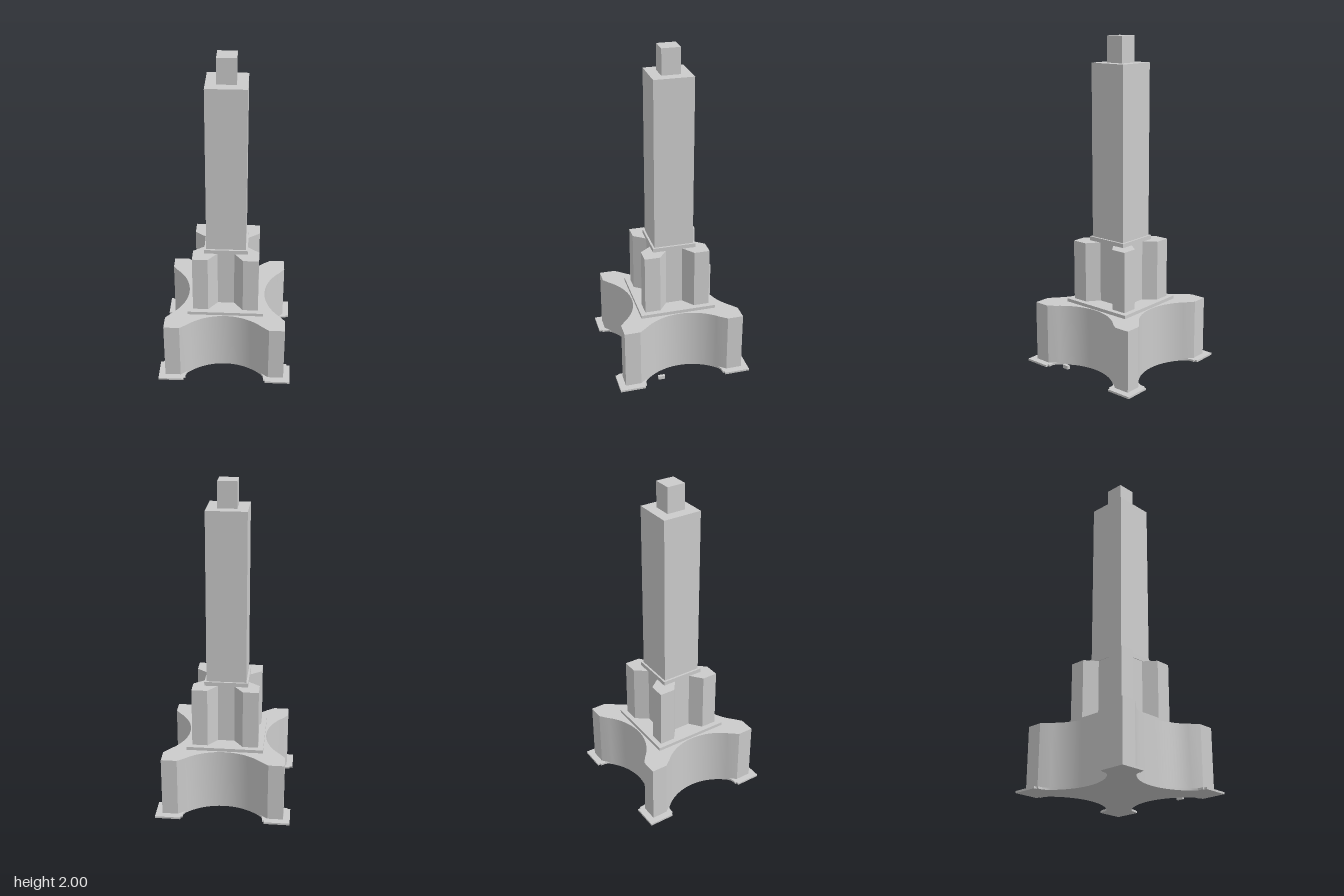
import * as THREE from 'three';
import { toCreasedNormals } from 'three/addons/utils/BufferGeometryUtils.js';

const material = new THREE.MeshStandardMaterial({ color: 0xcccccc });

// Four-armed plan: half of one arm (tip first) is mirrored and repeated,
// optionally joined to the next arm by a concave quarter circle
function crossShape(half, arc) {
  const pts = [];
  const centre = new THREE.Vector2();
  for (let k = 0; k < 4; k++) {
    const arm = [
      ...half.slice(1).reverse().map(([x, y]) => [x, -y]),
      ...half,
    ];
    if (arc) {
      for (let i = 1; i < 28; i++) {
        const a = -Math.PI / 2 - (i / 28) * (Math.PI / 2);
        arm.push([arc.c + arc.r * Math.cos(a), arc.c + arc.r * Math.sin(a)]);
      }
    }
    for (const [x, y] of arm) {
      pts.push(new THREE.Vector2(x, y).rotateAround(centre, k * Math.PI / 2));
    }
  }
  return new THREE.Shape(pts);
}

// Upright prism of a plan between two heights
function prism(name, shape, y0, y1) {
  const flat = new THREE.ExtrudeGeometry(shape, { depth: y1 - y0, bevelEnabled: false });
  flat.rotateX(-Math.PI / 2).translate(0, y0, 0);
  const mesh = new THREE.Mesh(toCreasedNormals(flat, 0.35), material);
  mesh.name = name;
  return mesh;
}

// Square block standing corner-on; d is half its diagonal
const diamond = (name, d, y0, y1) => prism(name, crossShape([[d, 0]]), y0, y1);

export function createModel() {
  const group = new THREE.Group();
  group.name = 'tower';
  const body = new THREE.Group();
  body.name = 'towerBody';
  body.rotation.y = 0.017;
  group.add(body);

  const arc = { c: 0.4, r: 0.325 };
  // Ground plate with stepped feet
  const foot = [[0.58, 0], [0.47, 0.11], [0.457, 0.097], [0.449, 0.104], [0.425, 0.082], [0.4, 0.075]];
  // Lower storey with curved recesses between pointed piers
  const pier = [[0.523, 0], [0.455, 0.068], [0.4, 0.075]];
  // Middle storey with four pointed buttresses
  const buttress = [[0.285, 0], [0.218, 0.067], [0.127, 0.055]];

  body.add(
    prism('groundPlate', crossShape(foot, arc), 0, 0.012),
    prism('lowerStorey', crossShape(pier, arc), 0.012, 0.385),
    diamond('lowerSlab', 0.33, 0.385, 0.405),
    prism('middleStorey', crossShape(buttress), 0.405, 0.775),
    diamond('upperSlab', 0.187, 0.775, 0.8),
    diamond('shaft', 0.17, 0.8, 1.845),
    diamond('topBlock', 0.08, 1.845, 2),
  );

  // Small marker block in the back recess
  const marker = new THREE.Mesh(new THREE.BoxGeometry(0.042, 0.022, 0.018), material);
  marker.name = 'markerBlock';
  marker.position.set(0.343, 0.016, -0.153);
  marker.rotation.y = -Math.PI / 4;
  group.add(marker);

  return group;
}
